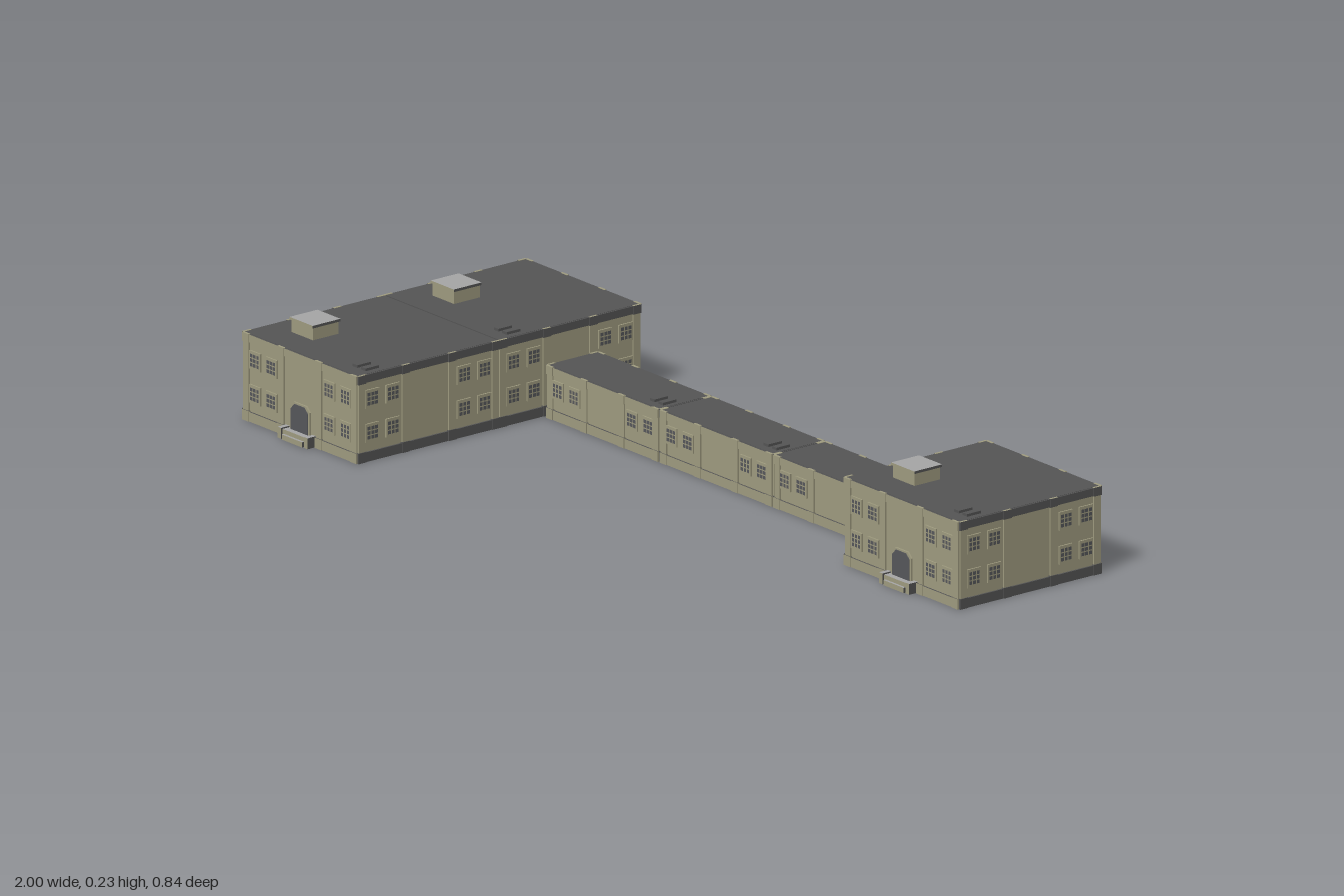
import * as THREE from 'three';
import { mergeGeometries } from 'three/addons/utils/BufferGeometryUtils.js';

const mat = (name, color) => {
  const m = new THREE.MeshStandardMaterial({ color });
  m.name = name;
  return m;
};

export function createModel() {
  const wall = mat('olive wall', 0xa09c80);
  const dark = mat('dark roofing', 0x555555);
  const glass = mat('window and door', 0x56575b);
  const light = mat('pale grey slab', 0xa6a6a6);

  const model = new THREE.Group();
  model.name = 'barracksComplex';

  function box(parent, name, size, pos, material) {
    const m = new THREE.Mesh(new THREE.BoxGeometry(...size), material);
    m.position.set(...pos);
    m.name = name;
    parent.add(m);
    return m;
  }

  // Three by three grid of thin panes, shared by every window
  const panes = [];
  for (let i = -1; i <= 1; i++) {
    for (let j = -1; j <= 1; j++) {
      panes.push(new THREE.PlaneGeometry(0.008, 0.008).translate(i * 0.0105, j * 0.0105, 0.0032));
    }
  }
  const paneGeo = mergeGeometries(panes);
  const frameGeo = new THREE.BoxGeometry(0.038, 0.042, 0.005);

  // Doorway with clipped upper corners
  function doorGeo(w, h, depth) {
    const s = new THREE.Shape();
    s.moveTo(-w / 2, 0);
    s.lineTo(w / 2, 0);
    s.lineTo(w / 2, h - 0.012);
    s.lineTo(w / 2 - 0.012, h);
    s.lineTo(-w / 2 + 0.012, h);
    s.lineTo(-w / 2, h - 0.012);
    s.closePath();
    return new THREE.ExtrudeGeometry(s, { depth, bevelEnabled: false });
  }
  const doorFrame = doorGeo(0.068, 0.064, 0.004);
  const doorLeaf = doorGeo(0.058, 0.06, 0.006);

  function addWindow(parent, x, y) {
    const g = new THREE.Group();
    g.name = 'window';
    const frame = new THREE.Mesh(frameGeo, wall);
    frame.name = 'windowFrame';
    const pane = new THREE.Mesh(paneGeo, glass);
    pane.name = 'windowPanes';
    g.add(frame, pane);
    g.position.set(x, y, 0.001);
    parent.add(g);
  }

  function addDoor(parent) {
    const frame = new THREE.Mesh(doorFrame, wall);
    frame.name = 'doorFrame';
    const leaf = new THREE.Mesh(doorLeaf, glass);
    leaf.name = 'door';
    frame.position.y = leaf.position.y = 0.022;
    parent.add(frame, leaf);
    // Low stoop with a wider front step
    const m = [dark, dark, light, dark, wall, wall];
    box(parent, 'stoop', [0.1, 0.022, 0.02], [0, 0.011, 0.01], m);
    box(parent, 'stoopStep', [0.07, 0.012, 0.009], [0, 0.006, 0.0215], m);
    for (const s of [-1, 1]) box(parent, 'stoopCurb', [0.012, 0.025, 0.024], [s * 0.046, 0.0125, 0.012], m);
  }

  // One facade, built facing +z: panel, bands, pilasters, windows, door
  function side(parent, length, h, opt, acrossX) {
    const face = acrossX ? dark : wall;
    const band = [face, face, dark, dark, face, wall];
    box(parent, 'wallPanel', [length, h - 0.004, 0.004], [0, h / 2, -0.002], wall);
    if (opt.plain) return;
    box(parent, 'baseBand', [length, 0.022, 0.004], [0, 0.011, 0.002], band);
    box(parent, 'topBand', [length, 0.018, 0.004], [0, h - 0.009, 0.002], band);
    const ends = length / 2 - 0.009;
    for (const x of opt.short ? [-ends, ends] : [-ends, -0.065, 0.065, ends]) {
      box(parent, 'pilaster', [0.018, h - 0.04, 0.004], [x, h / 2 + 0.002, 0.002], wall);
      box(parent, 'pilasterFoot', [0.022, 0.024, 0.006], [x, 0.012, 0.003], band);
      box(parent, 'pilasterCap', [0.022, 0.02, 0.006], [x, h - 0.009, 0.003], [face, face, wall, dark, face, wall]);
    }
    if (opt.short) return;
    for (const y of h > 0.15 ? [0.065, 0.143] : [0.07]) {
      for (const x of [-0.157, -0.1, 0.1, 0.157]) addWindow(parent, x, y);
    }
    if (opt.door) addDoor(parent);
  }

  // Open-bottomed building shell; sides listed front, right (+x), back, left
  function building(name, cx, cz, w, d, h, sides) {
    const g = new THREE.Group();
    g.name = name;
    g.position.set(cx, 0, cz);
    model.add(g);
    sides.forEach((opt, i) => {
      const f = new THREE.Group();
      f.name = ['frontFacade', 'plusXFacade', 'backFacade', 'minusXFacade'][i];
      const acrossX = i % 2 === 1;
      f.rotation.y = i * Math.PI / 2;
      const off = (acrossX ? w : d) / 2;
      if (acrossX) f.position.x = i === 1 ? off : -off;
      else f.position.z = i === 0 ? off : -off;
      side(f, acrossX ? d : w, h, opt, acrossX);
      g.add(f);
    });
    box(g, 'roof', [w - 0.001, 0.006, d - 0.001], [0, h - 0.0025, 0], dark);
    // Pair of small roof vents
    for (const x of [0.143, 0.172]) {
      box(g, 'roofVent', [0.016, 0.007, 0.038], [x, h + 0.003, h > 0.15 ? 0.142 : 0.03], dark);
    }
    // Roof hatch with a capped rim
    if (h > 0.15) {
      box(g, 'roofHatch', [0.074, 0.032, 0.072], [-0.093, h + 0.014, 0.082], wall);
      box(g, 'roofHatchCap', [0.08, 0.006, 0.078], [-0.093, h + 0.032, 0.082], [dark, dark, light, dark, wall, wall]);
    }
    return g;
  }

  const plain = { plain: true };
  const windows = {};
  const door = { door: true };
  const short = { short: true };

  // Three tall blocks
  const S = 0.392;
  building('rearBlock', -0.798, -0.199, S, S, 0.2, [plain, windows, door, windows]);
  building('frontBlock', -0.798, 0.196, S, S, 0.2, [door, windows, plain, windows]);
  building('endBlock', 0.798, -0.199, S, S, 0.2, [door, windows, door, windows]);

  // Low connecting corridor of three modules
  for (const i of [-1, 0, 1]) {
    building('corridorModule', i * 0.394, -0.198, 0.384, 0.138, 0.12, [windows, short, door, short]);
  }

  return model;
}
